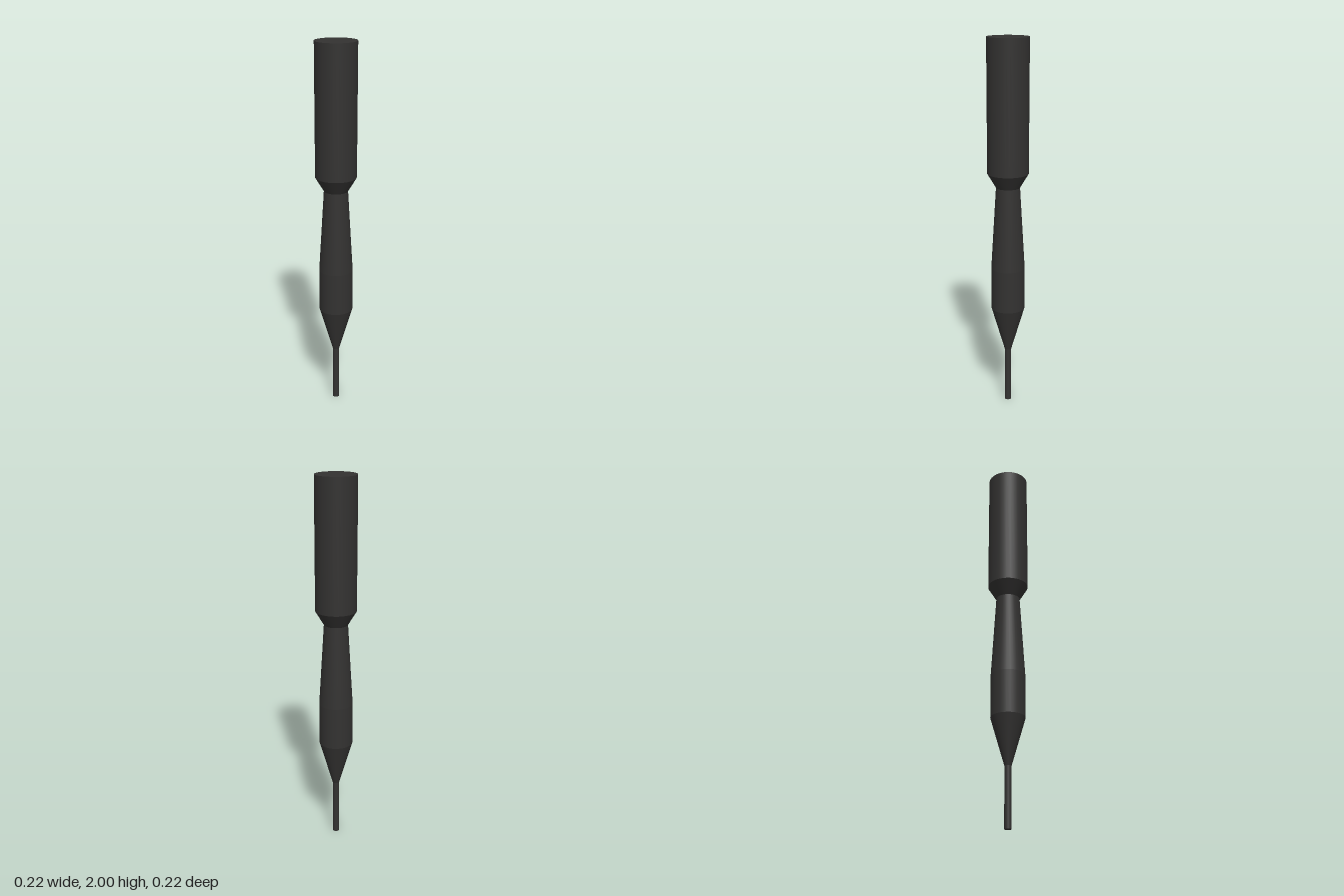
import * as THREE from 'three';

const SIDES = 32;

export function createModel() {
  const model = new THREE.Group();
  const material = new THREE.MeshStandardMaterial({ color: 0x333231 });

  // Each part is a turned body: profile of [radius, height], bottom to top.
  // Each straight run is its own lathe, so edges between runs stay sharp.
  const addTurned = (name, profile) => {
    const part = new THREE.Group();
    part.name = name;
    for (let i = 1; i < profile.length; i++) {
      const points = [profile[i - 1], profile[i]].map(([r, y]) => new THREE.Vector2(r, y));
      const run = new THREE.Mesh(new THREE.LatheGeometry(points, SIDES), material);
      run.name = `${name}Section${i}`;
      part.add(run);
    }
    model.add(part);
  };

  // Thin pin at the bottom
  addTurned('tipPin', [[0, 0], [0.018, 0], [0.018, 0.32]]);
  // Cone, straight belly and long taper to the neck
  addTurned('grip', [[0, 0.31], [0.018, 0.31], [0.09, 0.56], [0.09, 0.79], [0.063, 1.235]]);
  // Flared collar and solid cylindrical head
  addTurned('handle', [[0.063, 1.235], [0.108, 1.31], [0.108, 2], [0, 2]]);

  return model;
}
